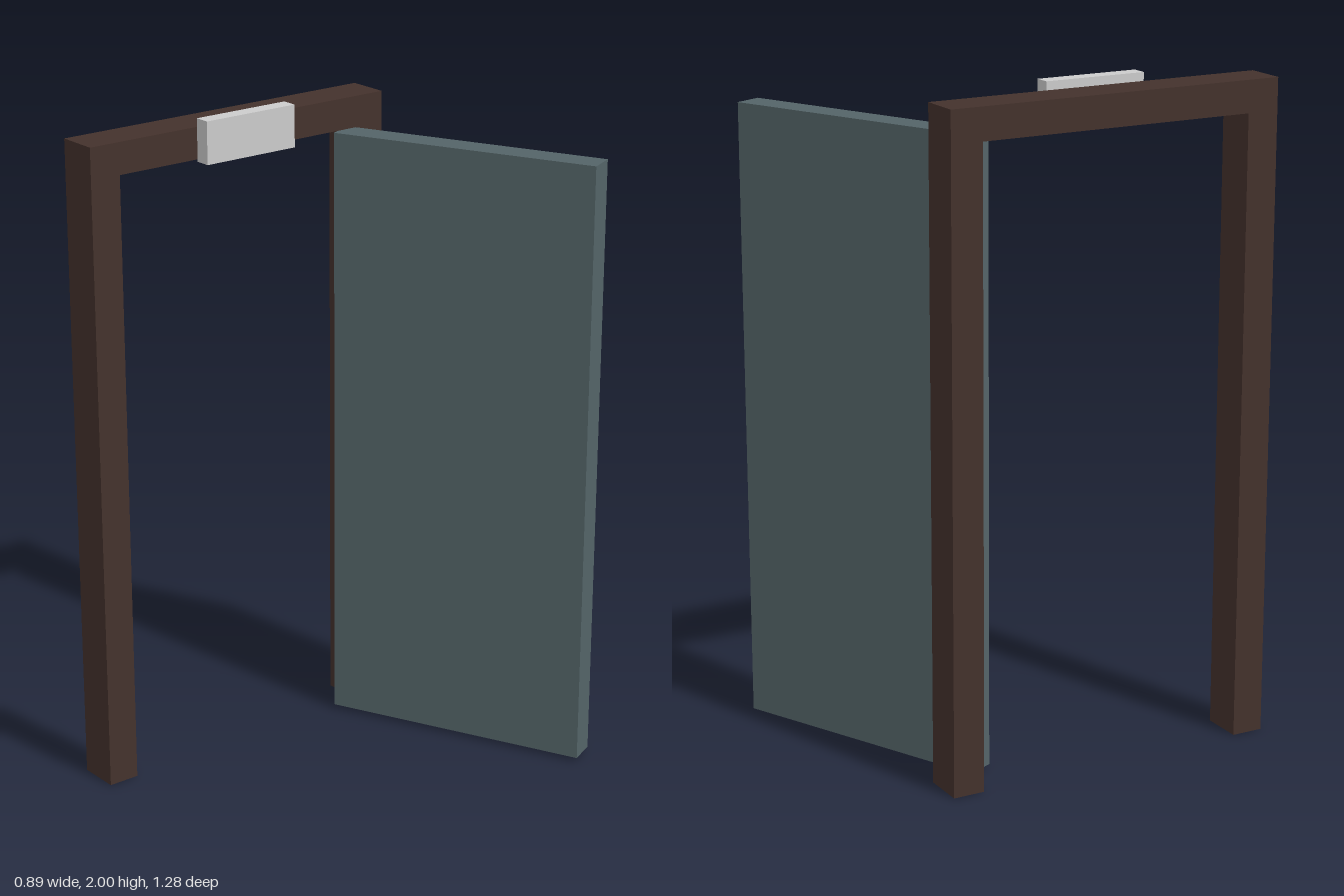
import * as THREE from 'three';

const material = (color) => new THREE.MeshStandardMaterial({ color, flatShading: true, side: THREE.DoubleSide });

// Box given by its min and max corners
function box(name, min, max, mat) {
  const size = max.map((v, i) => v - min[i]);
  const mesh = new THREE.Mesh(new THREE.BoxGeometry(...size), mat);
  mesh.position.set(...max.map((v, i) => (v + min[i]) / 2));
  mesh.name = name;
  return mesh;
}

// Removes the top and bottom faces, leaving a hollow post
function openEnds(mesh) {
  const index = Array.from(mesh.geometry.index.array);
  mesh.geometry.setIndex([...index.slice(0, 12), ...index.slice(24)]);
  mesh.geometry.clearGroups();
  return mesh;
}

export function createModel() {
  const model = new THREE.Group();
  model.name = 'openDoorway';
  const wood = material(0x44322c);
  const doorPaint = material(0x546468);
  const grey = material(0xcccccc);

  // Door frame: two posts joined by a lintel
  const frame = new THREE.Group();
  frame.name = 'doorFrame';
  const x0 = -0.448, x1 = -0.32, zBack = -0.405, zFront = 0.638, thick = 0.097, yInner = 1.88;
  frame.add(
    openEnds(box('frontPost', [x0, 0, zFront - thick], [x1, yInner, zFront], wood)),
    openEnds(box('backPost', [x0, 0, zBack], [x1, yInner, zBack + thick], wood)),
    box('lintel', [x0, yInner, zBack], [x1, 1.975, zFront], wood)
  );
  model.add(frame);

  // Door leaf, swung open about the back post
  const door = box('door', [-0.415, 0.013, -0.0435], [0.415, 1.88, 0.0435], doorPaint);
  door.position.x = 0.05;
  door.position.z = -0.4275;
  door.rotation.y = 0.429;
  model.add(door);

  // Small plate on the lintel
  model.add(box('lintelPlate', [-0.32, 1.873, -0.04], [-0.272, 2, 0.273], grey));
  return model;
}
